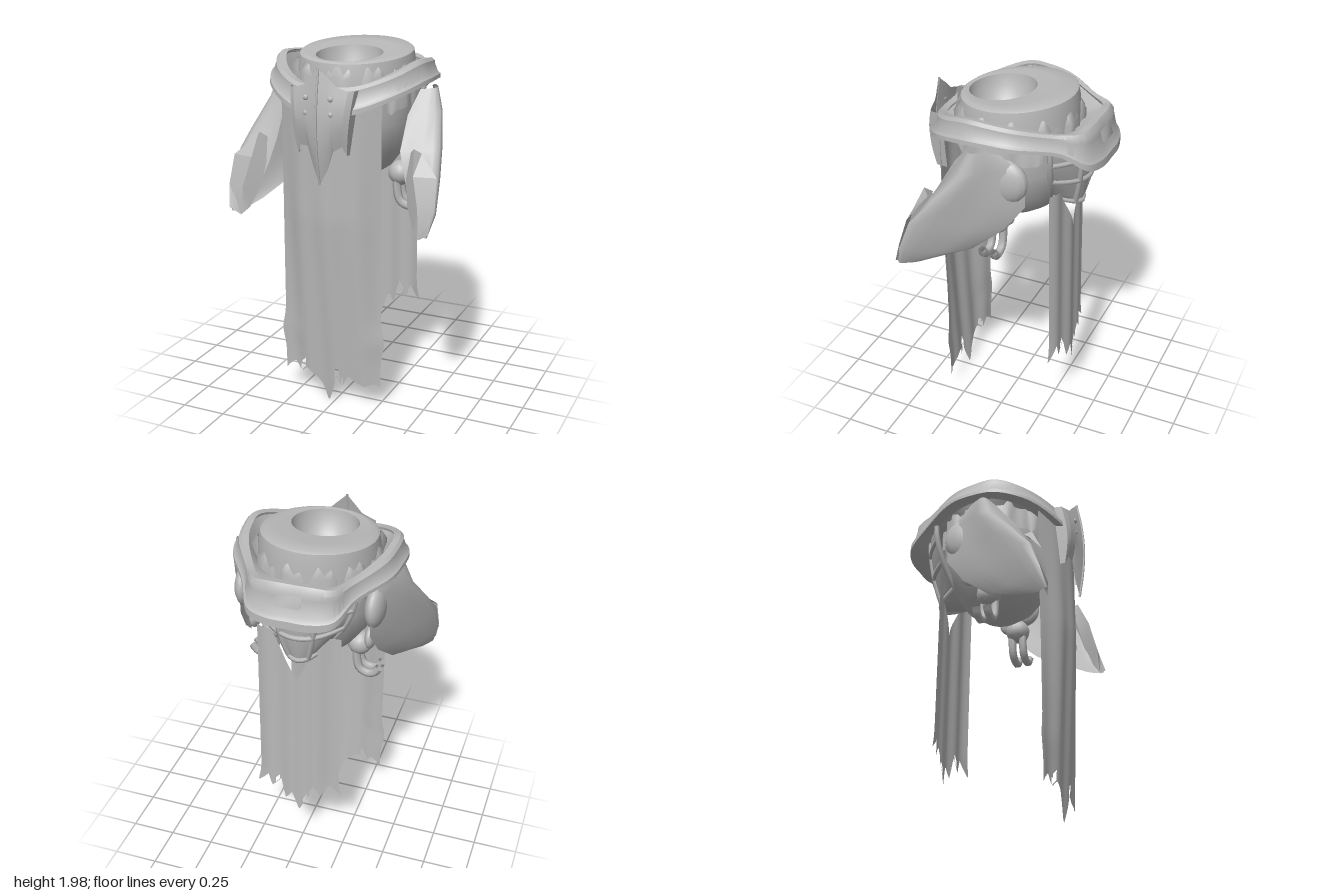
import * as THREE from 'three';
import { toCreasedNormals } from 'three/addons/utils/BufferGeometryUtils.js';

const grey = new THREE.MeshStandardMaterial({ color: 0xb8b8b8, side: THREE.DoubleSide });
grey.name = 'grey';
const CX = -0.02; // the armour sits slightly off centre

const lerp = THREE.MathUtils.lerp;
const V = (a) => new THREE.Vector3(...a);

function add(parent, name, geometry) {
  const mesh = new THREE.Mesh(geometry, grey);
  mesh.name = name;
  parent.add(mesh);
  return mesh;
}

// Surface through rows of points; closed joins the end of each row to its start
function loft(rows, closed = false, skip = () => false) {
  const n = rows[0].length, index = [];
  for (let j = 0; j < rows.length - 1; j++) {
    for (let i = 0; i < (closed ? n : n - 1); i++) {
      if (skip(i, j)) continue;
      const a = j * n + i, b = j * n + (i + 1) % n;
      index.push(a, a + n, b, b, a + n, b + n);
    }
  }
  const g = new THREE.BufferGeometry();
  g.setAttribute('position', new THREE.Float32BufferAttribute(rows.flat(2), 3));
  g.setIndex(index);
  g.computeVertexNormals();
  return g;
}

// Smooth curve resampled to n + 1 points
const smooth = (pts, n) => new THREE.CatmullRomCurve3(pts.map(V)).getPoints(n).map((p) => p.toArray());

const tube = (pts, r, seg = 16) =>
  new THREE.TubeGeometry(new THREE.CatmullRomCurve3(pts.map(V)), seg, r, 6, false);

// Value of a piecewise linear edge given as [x, y] pairs
function edgeAt(edge, x) {
  let k = 0;
  while (k < edge.length - 2 && edge[k + 1][0] < x) k++;
  const [x0, y0] = edge[k], [x1, y1] = edge[k + 1];
  return lerp(y0, y1, THREE.MathUtils.clamp((x - x0) / (x1 - x0), 0, 1));
}

// Hanging cloth with soft folds, a ragged hem and small tears
function cloth(x0, x1, topAt, hem, zAt, tears) {
  const nu = 60, nv = 40, rows = [];
  for (let j = 0; j <= nv; j++) {
    const row = [];
    for (let i = 0; i <= nu; i++) {
      const u = i / nu, s = u * 2 - 1, x = lerp(x0, x1, u);
      const y = lerp(topAt(s), edgeAt(hem, x), 1 - (1 - j / nv) ** 1.4);
      const flare = 0.02 * Math.sign(x) * s * s * Math.exp(-(((y - 0.4) / 0.08) ** 2));
      row.push([x + flare, y, zAt(s, y)]);
    }
    rows.push(row);
  }
  return loft(rows, false, (i, j) => tears.some(([a, b, w]) => Math.abs(i - a) < w && Math.abs(j - b) < 2));
}

function makeBody(group) {
  // Pelvis shell with a nearly flat top and a round bowl set towards the front
  const profile = [[0, 1.25], [0.1, 1.26], [0.2, 1.33], [0.28, 1.44], [0.33, 1.6], [0.33, 1.75], [0.32, 1.9],
    [0.31, 1.955], [0.295, 1.965], [0.24, 1.965], [0.18, 1.96], [0.17, 1.9], [0.13, 1.81], [0.06, 1.76], [0, 1.76]];
  const g = new THREE.LatheGeometry(profile.map((p) => new THREE.Vector2(...p)), 40);
  const p = g.attributes.position;
  for (let i = 0; i < p.count; i++) {
    const k = i % profile.length, y = p.getY(i);
    const z = p.getZ(i) + (k >= 10 ? 0.095 : k === 9 ? 0.05 : 0);
    p.setXYZ(i, p.getX(i) + CX, y + (y > 1.85 ? -z * 0.09 : 0), z);
  }
  g.computeVertexNormals();
  add(group, 'pelvisShell', toCreasedNormals(g, 0.7));

  // Torn lining between shell and belt
  const rows = [0, 1, 2].map((j) => Array.from({ length: 64 }, (_, i) => {
    const a = i / 64 * Math.PI * 2;
    const ragged = 0.012 * Math.sin(i * 2.4) + 0.012 * Math.sin(i * 1.1);
    const r = [0.305, 0.335, 0.345][j] + ragged * (j < 2 ? 1 : 0.2);
    return [CX + r * Math.sin(a), [1.9, 1.85, 1.68][j] + ragged, r * Math.cos(a)];
  }));
  add(group, 'tornLining', loft(rows, true));
}

function makeBelt(group) {
  // Half ring stations: top inner x, z, y and bottom outer x, z, y
  const half = [
    [0, 0.37, 1.82, 0, 0.455, 1.68], [0.15, 0.35, 1.83, 0.18, 0.435, 1.7], [0.29, 0.25, 1.885, 0.365, 0.305, 1.775],
    [0.37, 0.1, 1.935, 0.45, 0.13, 1.82], [0.37, -0.02, 1.93, 0.455, -0.01, 1.825], [0.345, -0.13, 1.915, 0.43, -0.15, 1.815],
    [0.25, -0.31, 1.875, 0.3, -0.35, 1.775], [0.19, -0.39, 1.87, 0.23, -0.48, 1.69],
    [0.11, -0.41, 1.88, 0.12, -0.52, 1.67], [0, -0.41, 1.88, 0, -0.525, 1.67]];
  const mirrored = half.slice(1, -1).reverse().map(([a, b, c, d, e, f]) => [-a, b, c, -d, e, f]);
  const ring = [...half, ...mirrored];
  const rail = (f) => {
    const c = new THREE.CatmullRomCurve3(ring.map((s) => V(f(s))), true);
    return Array.from({ length: 81 }, (_, i) => c.getPoint(i / 80).toArray());
  };
  const mix = (k, dy) => ([tx, tz, ty, bx, bz, by]) => [CX + lerp(tx, bx, k), lerp(ty, by, dy), lerp(tz, bz, k)];
  // Section with raised rims above and below a shallow channel
  const rails = [mix(0, 0), mix(0.4, -0.04), mix(0.6, 0.1), mix(0.62, 0.25), mix(0.82, 0.7), mix(0.98, 0.8), mix(1, 1),
    mix(0.45, 1), mix(0, 0.9)].map(rail);
  add(group, 'belt', toCreasedNormals(loft(rails), 0.6));

  // Padding that fills the gap from belt to pelvis
  const padRail = (r, y) => rail(([tx, tz]) => {
    const d = Math.hypot(tx, tz);
    return [CX + tx / d * r, y, tz / d * r];
  });
  add(group, 'beltPadding', loft([padRail(0.33, 1.81), rail(mix(0.1, 0.15))]));

  // Raised tab on the back of the belt
  const tab = [[0.11, -0.42, 1.885], [0.07, -0.47, 1.87], [-0.07, -0.47, 1.87], [-0.11, -0.42, 1.885]];
  add(group, 'beltTab', loft([tab.map(([x, z, y]) => [x + CX, y, z]),
    tab.map(([x, z, y]) => [x * 0.8 + CX, y - 0.09, z - 0.035])]));
}

function makeFrontPlate(group) {
  // Ridged plate with pointed lower edge: x, top, bottom, z
  const cols = [[-0.165, 1.82, 1.47, 0.435], [-0.14, 1.82, 1.52, 0.45], [-0.085, 1.84, 1.52, 0.458], [-0.05, 1.88, 1.42, 0.463],
    [0, 1.93, 1.32, 0.475], [0.05, 1.88, 1.4, 0.463], [0.085, 1.84, 1.5, 0.458], [0.14, 1.82, 1.53, 0.45], [0.165, 1.82, 1.48, 0.435]];
  const rows = Array.from({ length: 9 }, (_, j) => cols.map(([x, top, bottom, z]) => {
    const t = j / 8;
    return [CX + x * (1.1 - 0.25 * t), lerp(top, bottom, t), z + 0.035 * Math.sin(t * Math.PI) * (1 - 2 * Math.abs(x))];
  }));
  add(group, 'frontPlate', toCreasedNormals(loft(rows), 0.25));
  add(group, 'plateRidge', tube([0, 2, 4, 6, 8].map((j) => rows[j][4]), 0.007));
  // Sides folding back to the cloth
  for (const c of [0, 8]) {
    add(group, 'plateSide', loft([rows.map((r) => r[c]), rows.map((r) => [r[c][0] * 1.05, r[c][1], 0.37])]));
  }
  for (const x of [-0.07, 0.07]) for (const y of [1.7, 1.78]) {
    const stud = add(group, 'plateStud', new THREE.SphereGeometry(0.015, 10, 8));
    stud.position.set(CX + x, y, 0.484);
    stud.scale.z = 0.6;
  }
}

function makeBackGuard(group) {
  // Basket-shaped guard with a grid of ribs, closed underneath
  const at = (s, t) => {
    const w = lerp(0.285, 0.13, t ** 1.8);
    return [CX + s * w, lerp(1.78, 1.38, t) + 0.06 * s * s * t, lerp(-0.425, -0.37, t * t) + 0.13 * s * s];
  };
  const steps = (n) => Array.from({ length: n + 1 }, (_, i) => i / n);
  const rows = steps(10).map((t) => steps(16).map((u) => at(1 - u * 2, t)));
  rows.push(rows[10].map(([x, y]) => [x * 0.9, y - 0.02, -0.2]));
  add(group, 'backGuard', toCreasedNormals(loft(rows), 0.6));
  for (const s of [-1, -0.4, 0.4, 1]) add(group, 'guardRib', tube(steps(6).map((t) => at(s, t)), 0.016));
  for (const t of [0.25, 0.6, 1]) add(group, 'guardBand', tube(steps(8).map((u) => at(u * 2 - 1, t)), 0.016));
}

// Left side hip armour; the right side is its mirror
function makeHip() {
  const hip = new THREE.Group();
  const rows = [
    [[0.39, 1.79, 0.1], [0.47, 1.8, 0.06], [0.43, 1.8, -0.02], [0.39, 1.78, -0.08]],
    [[0.36, 1.67, 0.2], [0.505, 1.68, 0.1], [0.43, 1.7, -0.06], [0.36, 1.67, -0.2]],
    [[0.36, 1.5, 0.3], [0.555, 1.52, 0.24], [0.45, 1.53, 0], [0.36, 1.49, -0.2]],
    [[0.4, 1.36, 0.33], [0.59, 1.38, 0.36], [0.48, 1.35, 0.1], [0.38, 1.34, -0.09]],
    [[0.45, 1.22, 0.37], [0.6, 1.22, 0.42], [0.51, 1.19, 0.23], [0.42, 1.2, 0.08]],
    [[0.52, 1.1, 0.43], [0.57, 1.1, 0.45], [0.53, 1.1, 0.37], [0.48, 1.13, 0.27]]];
  add(hip, 'hipPlate', loft(rows.map((r) => smooth(r, 12))));

  // Folded lower plate overlapping the front edge
  const fold = [
    [[0.42, 1.5, 0.3], [0.45, 1.53, 0.335], [0.48, 1.5, 0.3]],
    [[0.41, 1.36, 0.34], [0.47, 1.4, 0.395], [0.59, 1.4, 0.37]],
    [[0.43, 1.24, 0.37], [0.51, 1.24, 0.43], [0.6, 1.24, 0.42]],
    [[0.48, 1.12, 0.41], [0.52, 1.08, 0.44], [0.58, 1.12, 0.46]]];
  add(hip, 'lowerHipPlate', toCreasedNormals(loft(fold), 0.4));

  // Joint padding behind the plate
  for (const [x, y, z, r] of [[0.36, 1.62, -0.09, 0.125], [0.34, 1.48, 0.02, 0.1], [0.33, 1.4, -0.06, 0.07]]) {
    const pad = add(hip, 'hipPad', new THREE.SphereGeometry(r, 16, 12));
    pad.position.set(x, y, z);
    pad.scale.x = 0.45;
  }

  // Pair of hooks under the hip
  for (const z of [-0.02, 0.045]) {
    add(hip, 'hook', tube([[0.25, 1.34, z], [0.24, 1.24, z], [0.26, 1.15, z], [0.31, 1.125, z], [0.35, 1.14, z], [0.37, 1.17, z]], 0.024));
  }
  add(hip, 'hookBinding', new THREE.SphereGeometry(0.07, 14, 10)).position.set(0.25, 1.3, 0.012);
  return hip;
}

export function createModel() {
  const group = new THREE.Group();
  group.name = 'waistArmour';
  makeBody(group);
  makeBelt(group);
  makeFrontPlate(group);
  makeBackGuard(group);

  const frontHem = [[-0.32, 0.14], [-0.29, 0.18], [-0.25, 0.21], [-0.21, 0.15], [-0.17, 0.19], [-0.1, 0.14], [-0.07, 0.1], [-0.035, 0],
    [0, 0.1], [0.02, 0.18], [0.05, 0.11], [0.08, 0.18], [0.13, 0.15], [0.18, 0.13], [0.23, 0.15], [0.28, 0.13]];
  add(group, 'frontCloth', cloth(-0.312, 0.268, () => 1.78, frontHem, (s, y) => {
    const mid = 0.355 + 0.075 * Math.min(1, y / 1.1);
    return lerp(mid, 0.328, s * s) + 0.006 * Math.sin(s * 11 + y) * Math.min(1, 1.9 - y);
  }, [[10, 38, 1], [12, 37, 2], [34, 37, 2], [37, 38, 1]]));

  const backHem = [[-0.24, 0.43], [-0.18, 0.5], [-0.13, 0.42], [-0.1, 0.48], [-0.06, 0.4], [-0.01, 0.29],
    [0.03, 0.42], [0.07, 0.36], [0.1, 0.49], [0.15, 0.42], [0.18, 0.5], [0.23, 0.42]];
  add(group, 'backCloth', cloth(0.235, -0.235, (s) => 1.22 + 0.28 * Math.min(1, Math.abs(s) * 1.6), backHem,
    (s, y) => -0.348 + 0.015 * y + 0.04 * s * s + 0.006 * Math.sin(s * 10), [[14, 37, 2], [35, 37, 2], [40, 38, 2]]));

  const left = makeHip(), right = makeHip();
  left.name = 'leftHip';
  right.name = 'rightHip';
  right.scale.x = -1;
  group.add(left, right);
  return group;
}
